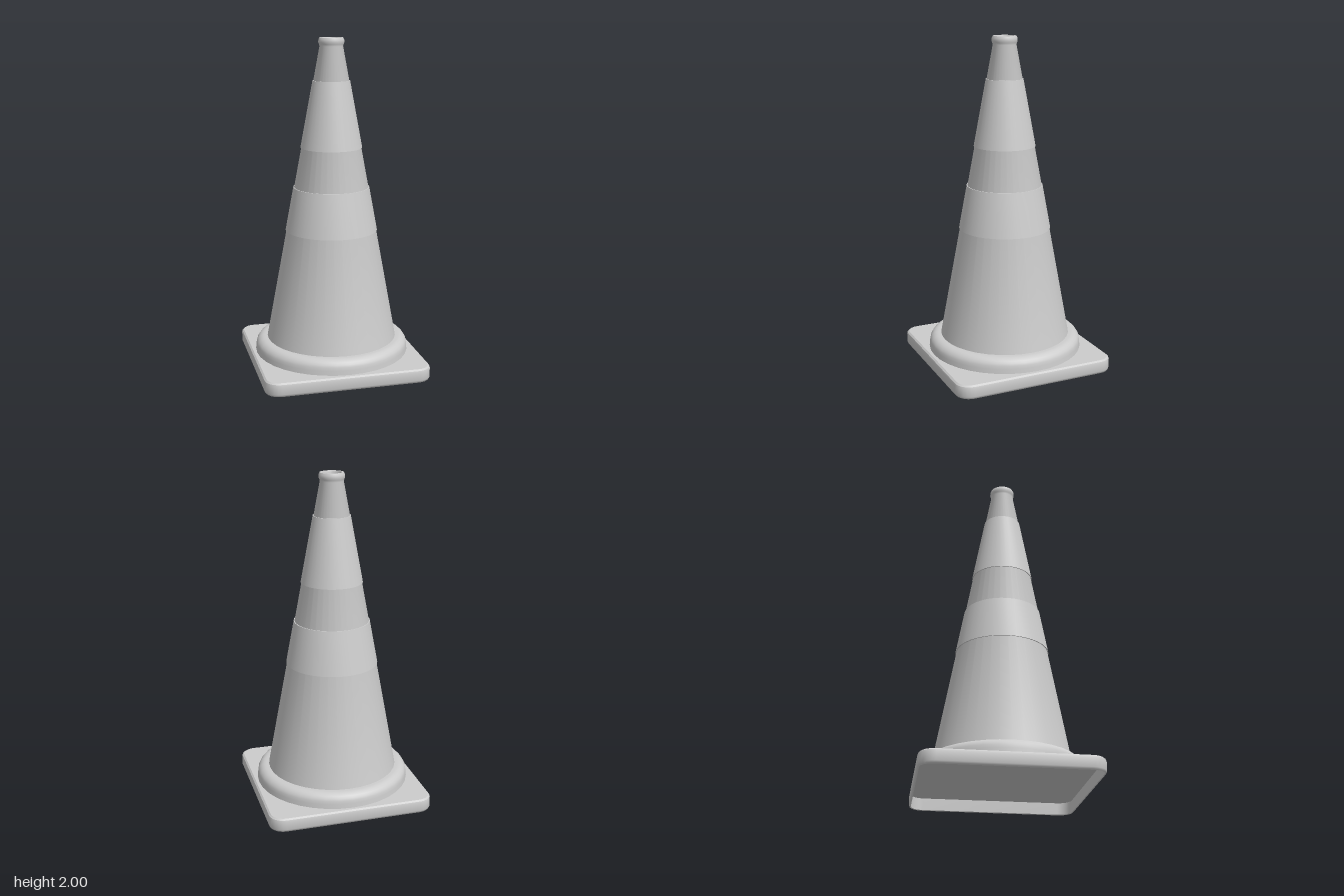
import * as THREE from 'three';
import { toCreasedNormals } from 'three/addons/utils/BufferGeometryUtils.js';

const HALF = 0.503, CORNER = 0.09, SIDES = 36;

// Points of a rounded square, shrunk by an inset
function roundedSquare(inset, y) {
  const points = [];
  const half = Math.max(HALF - inset, 0);
  const radius = Math.min(Math.max(CORNER - inset, 0.03), half);
  for (let c = 0; c < 4; c++) {
    const mid = Math.PI / 4 + c * Math.PI / 2;
    const cx = Math.sign(Math.cos(mid)) * (half - radius);
    const cz = Math.sign(Math.sin(mid)) * (half - radius);
    for (let s = 0; s <= 6; s++) {
      const a = (c + s / 6) * Math.PI / 2;
      points.push(cx + radius * Math.cos(a), y, cz + radius * Math.sin(a));
    }
  }
  return points;
}

// Skin a run of rounded squares given as [inset, y]
function loftSquares(levels) {
  const n = 28, position = [], index = [];
  levels.forEach(([inset, y]) => position.push(...roundedSquare(inset, y)));
  for (let i = 0; i < levels.length - 1; i++) {
    for (let j = 0; j < n; j++) {
      const k = (j + 1) % n;
      const a = i * n + j, b = i * n + k, c = b + n, d = a + n;
      if (i > 0) index.push(a, d, b);
      if (i < levels.length - 2) index.push(d, c, b);
      if (i === 0) index.push(a, d, c);
    }
  }
  const geometry = new THREE.BufferGeometry();
  geometry.setAttribute('position', new THREE.Float32BufferAttribute(position, 3));
  geometry.setIndex(index);
  return toCreasedNormals(geometry, 0.6);
}

function lathe(profile) {
  const points = profile.map(([r, y]) => new THREE.Vector2(r, y));
  return toCreasedNormals(new THREE.LatheGeometry(points, SIDES), 0.6);
}

// Radius of the plain cone wall at a height
const coneRadius = (y) => 0.4 - (y - 0.17) * 0.1855;

export function createModel() {
  const group = new THREE.Group();
  const grey = new THREE.MeshStandardMaterial({ color: 0xcccccc });
  grey.name = 'plain grey';

  const add = (name, geometry) => {
    const mesh = new THREE.Mesh(geometry, grey);
    mesh.name = name;
    group.add(mesh);
  };

  // Square foot, hollow underneath, with softened edges
  add('base', loftSquares([
    [HALF, 0.075], [0.012, 0.075], [0.012, 0.004], [0.008, 0],
    [0.004, 0.004], [0, 0.015], [0, 0.065], [0.003, 0.075], [0.013, 0.083], [HALF, 0.083],
  ]));

  // Rounded collar around the foot of the cone
  const collar = [[0.473, 0.08], [0.47, 0.11]];
  for (let i = 1; i <= 6; i++) {
    const a = i / 6 * Math.PI / 2;
    collar.push([0.415 + 0.055 * Math.cos(a), 0.115 + 0.055 * Math.sin(a)]);
  }
  collar.push([0.385, 0.17]);
  add('collar', lathe(collar));

  // Hollow cone with a thickened lip at its open top
  add('cone', lathe([
    [0.4, 0.165], [coneRadius(1.95), 1.95], [0.073, 1.962], [0.077, 1.972],
    [0.076, 1.988], [0.07, 2], [0.06, 2], [0.056, 1.99], [0.056, 1.94], [0.38, 0.165],
  ]));

  // Two raised sleeves around the cone
  const sleeves = { lowerSleeve: [0.845, 1.11], upperSleeve: [1.35, 1.75] };
  for (const [name, [low, high]] of Object.entries(sleeves)) {
    const lift = 0.005;
    add(name, lathe([
      [coneRadius(low) - 0.002, low], [coneRadius(low) + lift, low],
      [coneRadius(high) + lift, high], [coneRadius(high) - 0.002, high],
    ]));
  }

  return group;
}
